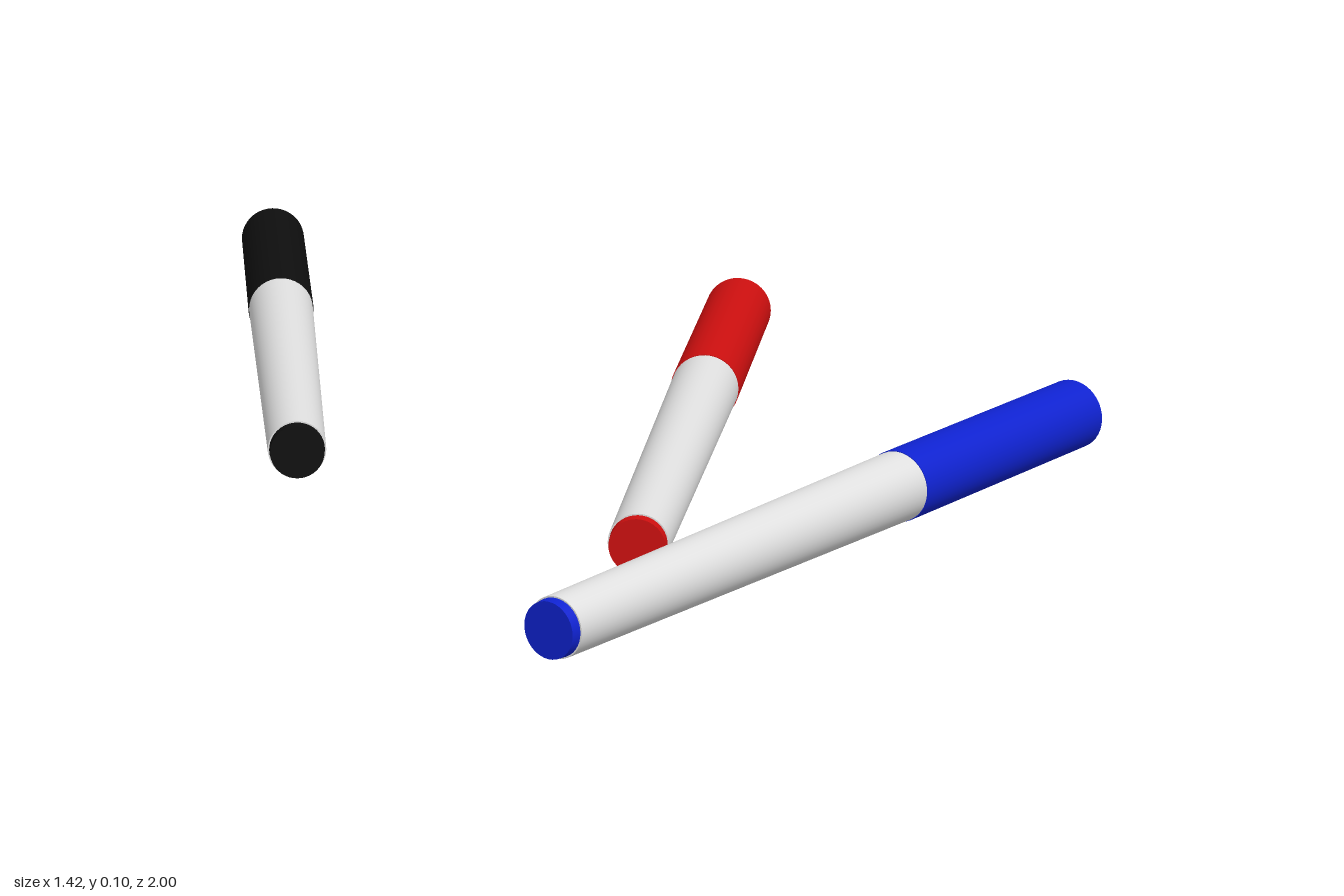
import * as THREE from 'three';

const LENGTH = 1.247, CAP = 0.454, PLUG = 0.015, RADIUS = 0.05;

const paint = (name, color) => {
  const material = new THREE.MeshStandardMaterial({ color });
  material.name = name;
  return material;
};

// A round section along +z, from z0 (radius r0) to z1 (radius r1)
function section(name, z0, z1, r0, r1, material) {
  const geometry = new THREE.CylinderGeometry(r1, r0, z1 - z0, 40);
  geometry.rotateX(Math.PI / 2).translate(0, 0, (z0 + z1) / 2);
  const mesh = new THREE.Mesh(geometry, material);
  mesh.name = name;
  return mesh;
}

// Marker lying down, cap end at the origin
function marker(name, ink, white) {
  const pen = new THREE.Group();
  pen.name = name;
  pen.add(
    section('cap', 0, CAP, RADIUS, RADIUS, ink),
    section('barrel', CAP, LENGTH - PLUG, 0.049, 0.041, white),
    section('endPlug', LENGTH - PLUG, LENGTH, 0.039, 0.038, ink)
  );
  return pen;
}

export function createModel() {
  const model = new THREE.Group();
  model.name = 'markers';
  const white = paint('barrelWhite', 0xe0e0e0);

  // name, ink, cap end x and z, heading in degrees
  const pens = [
    ['blackMarker', paint('black', 0x0e0e0e), -0.664, -0.989, 12.4],
    ['redMarker', paint('red', 0xcc0f0f), 0.13, -0.636, 0],
    ['blueMarker', paint('blue', 0x0f22d0), 0.667, -0.112, -28.9],
  ];
  for (const [name, ink, x, z, heading] of pens) {
    const pen = marker(name, ink, white);
    pen.position.set(x, RADIUS, z);
    pen.rotation.y = THREE.MathUtils.degToRad(heading);
    model.add(pen);
  }
  return model;
}
